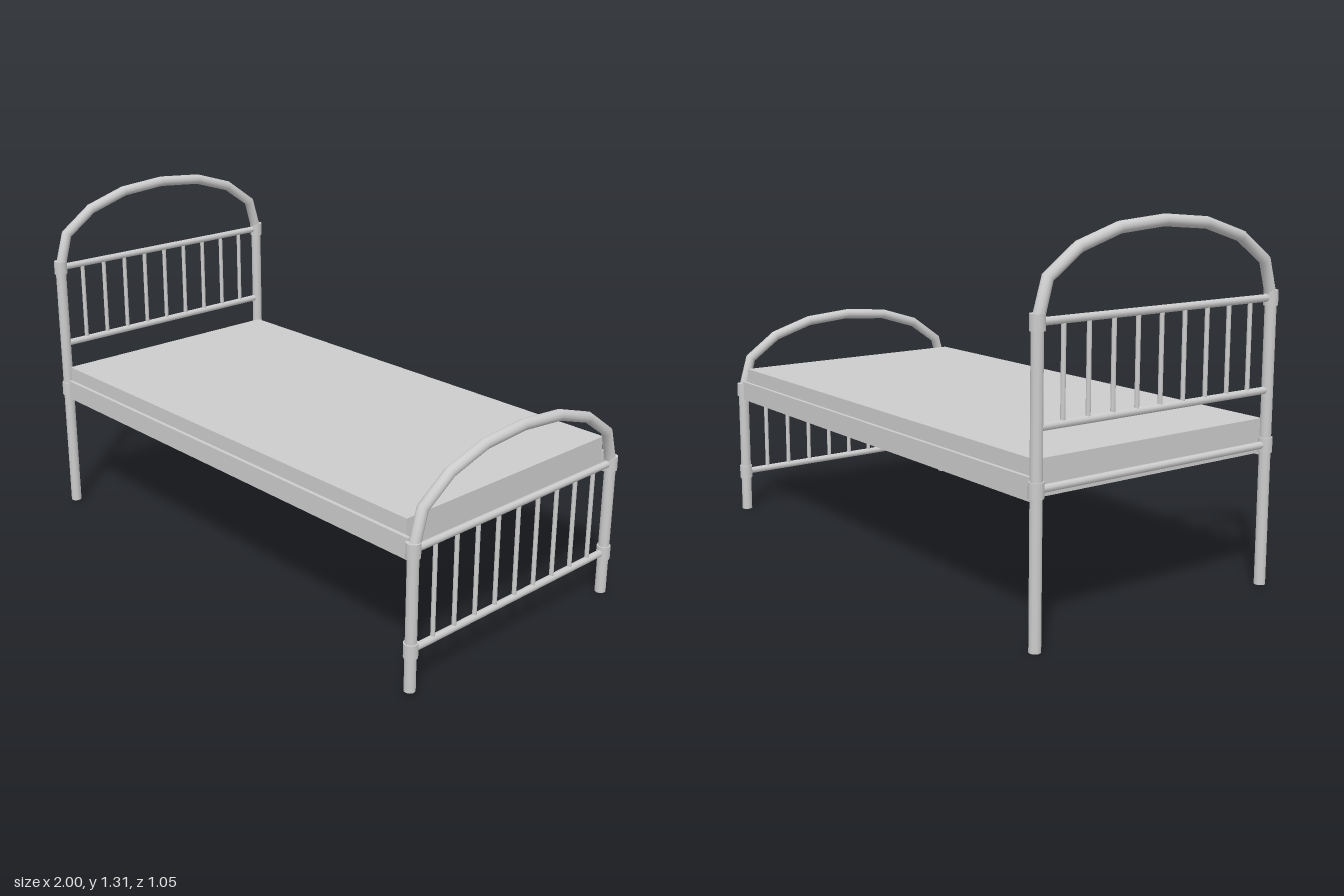
import * as THREE from 'three';

const material = new THREE.MeshStandardMaterial({ color: 0xcccccc, side: THREE.DoubleSide });

// Straight-segmented path: tube rings land exactly on the given points
class Polyline extends THREE.Curve {
  constructor(points) {
    super();
    this.points = points;
  }
  getPoint(t, target = new THREE.Vector3()) {
    const n = this.points.length - 1;
    const f = Math.min(Math.max(t, 0), 1) * n;
    const i = Math.min(Math.floor(f), n - 1);
    return target.lerpVectors(this.points[i], this.points[i + 1], f - i);
  }
  getPointAt(u, target) { return this.getPoint(u, target); }
  getTangentAt(u, target) { return this.getTangent(u, target); }
}

function add(parent, name, geometry, x, y, z) {
  const mesh = new THREE.Mesh(geometry, material);
  mesh.name = name;
  mesh.position.set(x, y, z);
  parent.add(mesh);
  return mesh;
}

function upright(parent, name, radius, bottom, top, z) {
  const geometry = new THREE.CylinderGeometry(radius, radius, top - bottom, 12);
  return add(parent, name, geometry, 0, (bottom + top) / 2, z);
}

function crossRail(parent, y) {
  const geometry = new THREE.CylinderGeometry(0.013, 0.013, 1, 10);
  add(parent, 'crossRail', geometry, 0, y, 0).rotation.x = Math.PI / 2;
}

// One bed end: posts, arch, collars, cross rails and spindles
function bedEnd(name, x, postTop, rails, collars, spindleBottom, spindleTop) {
  const end = new THREE.Group();
  end.name = name;
  end.position.x = x;

  for (const z of [-0.5, 0.5]) {
    upright(end, 'post', 0.02, z > 0 ? 0.012 : 0, postTop, z);
    for (const y of collars) upright(end, 'collar', 0.025, y - 0.026, y + 0.026, z);
  }

  const half = [[0.5, 0], [0.463, 0.128], [0.345, 0.212], [0.185, 0.262]];
  const profile = [...half, [0, 0.277], ...half.map(([z, y]) => [-z, y]).reverse()];
  const path = new Polyline(profile.map(([z, y]) => new THREE.Vector3(0, postTop + y, z)));
  add(end, 'arch', new THREE.TubeGeometry(path, profile.length - 1, 0.02, 12), 0, 0, 0);

  for (const y of rails) crossRail(end, y);
  for (let i = -4; i <= 4; i++) upright(end, 'spindle', 0.008, spindleBottom, spindleTop, i * 0.1);
  return end;
}

export function createModel() {
  const bed = new THREE.Group();
  bed.name = 'bed';

  bed.add(bedEnd('headboard', -0.975, 1.015, [1.015, 0.7, 0.51], [1.015, 0.51], 0.7, 1.015));
  bed.add(bedEnd('footboard', 0.975, 0.54 - 0.03, [0.51, 0.16], [0.51, 0.16], 0.16, 0.51));

  // Mattress held between two flat side rails
  add(bed, 'mattress', new THREE.BoxGeometry(1.9, 0.12, 0.99), -0.01, 0.54, 0);
  for (const side of [-1, 1]) {
    add(bed, 'sideRail', new THREE.BoxGeometry(1.92, 0.075, 0.014), 0, 0.5075, side * 0.502);
  }
  return bed;
}
